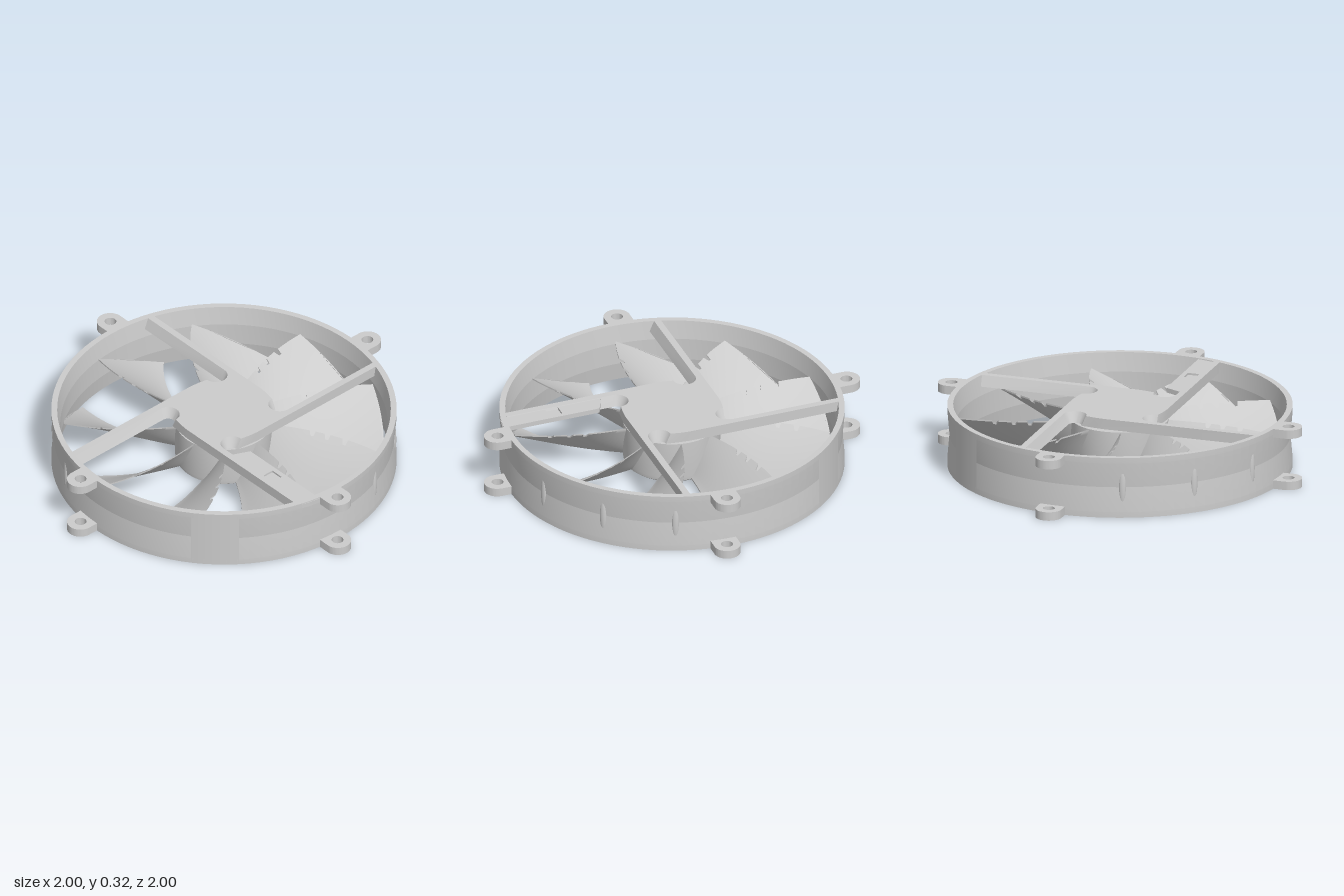
import * as THREE from 'three';
import { toCreasedNormals } from 'three/addons/utils/BufferGeometryUtils.js';

const material = new THREE.MeshStandardMaterial({ color: 0xcccccc, side: THREE.DoubleSide });

function add(parent, name, geometry, x = 0, y = 0, z = 0) {
  const mesh = new THREE.Mesh(geometry, material);
  mesh.name = name;
  mesh.position.set(x, y, z);
  parent.add(mesh);
  return mesh;
}

// Joins equal-length closed loops of points; a 2D contour gives the end caps.
function loft(loops, contour) {
  const n = loops[0].length;
  const index = [];
  for (let j = 0; j < loops.length - 1; j++) {
    for (let i = 0; i < n; i++) {
      const a = j * n + i, b = j * n + (i + 1) % n;
      index.push(a, b, b + n, a, b + n, a + n);
    }
  }
  const last = (loops.length - 1) * n;
  for (const [a, b, c] of THREE.ShapeUtils.triangulateShape(contour, [])) {
    index.push(a, c, b, last + a, last + b, last + c);
  }
  const geometry = new THREE.BufferGeometry().setFromPoints(loops.flat());
  geometry.setIndex(index);
  return toCreasedNormals(geometry, 0.5);
}

// Flat shape drawn in x/z, extruded upward.
function plate(shape, height) {
  const geometry = new THREE.ExtrudeGeometry(shape, { depth: height, bevelEnabled: false, curveSegments: 16 });
  geometry.rotateX(Math.PI / 2);
  geometry.translate(0, height, 0);
  return toCreasedNormals(geometry, 0.5);
}

// Outline of the motor plate with its four arms; inset widens arms and tightens notches.
function spiderOutline(inset) {
  const quarter = [[-0.82, -0.255], [-0.82, -0.22 + inset]];
  for (let i = 0; i <= 12; i++) {
    const a = -Math.PI / 2 + Math.PI * i / 12;
    const r = 0.06 - inset;
    quarter.push([-0.24 + r * Math.cos(a), -0.16 + r * Math.sin(a)]);
  }
  quarter.push([-0.25, -0.05], [-0.255, 0]);
  const points = [];
  for (let k = 0; k < 4; k++) {
    for (const [x, z] of quarter) {
      points.push([new THREE.Vector2(x, z), new THREE.Vector2(z, -x),
        new THREE.Vector2(-x, -z), new THREE.Vector2(-z, x)][k]);
    }
  }
  return points;
}

// Swept, twisted blade; notches trim only its upper edge.
function bladeGeometry() {
  const rows = 72, steps = 14;
  const notches = [0.46, 0.54, 0.64];
  const loops = [];
  const contour = [];
  for (let j = 0; j <= rows; j++) {
    const v = j / rows;
    const r = 0.235 + 0.58 * v;
    const low = THREE.MathUtils.degToRad(-2 + 4 * v + 8 * v * v);
    const high = THREE.MathUtils.degToRad(-30 + 7 * v + 3.5 * v * v);
    const trim = notches.some((c) => Math.abs(r - c) < 0.013) ? 0.92 : 1;
    const top = [], bottom = [];
    for (let i = 0; i <= steps; i++) {
      const u = Math.min(i / steps, trim);
      const a = low + (high - low) * u;
      const y = 0.035 + 0.21 * Math.pow(u, 1.2);
      const half = 0.003 + 0.006 * Math.sin(Math.PI * (u * 0.9 + 0.05));
      const x = r * Math.sin(a), z = -r * Math.cos(a);
      top.push(new THREE.Vector3(x, y + half, z));
      bottom.unshift(new THREE.Vector3(x, y - half, z));
      if (j === 0) contour.push(new THREE.Vector2(u, half));
    }
    loops.push([...top, ...bottom]);
  }
  contour.push(...contour.map((p) => new THREE.Vector2(p.x, -p.y)).reverse());
  return loft(loops, contour);
}

export function createModel() {
  const model = new THREE.Group();
  model.name = 'coolingFan';

  // Round frame with a narrow waist
  const profile = [[0.85, 0], [0.88, 0], [0.88, 0.03], [0.869, 0.16], [0.88, 0.29], [0.88, 0.32],
    [0.85, 0.32], [0.835, 0.22], [0.835, 0.1], [0.85, 0]];
  const ring = new THREE.LatheGeometry(profile.map(([x, y]) => new THREE.Vector2(x, y)), 96);
  add(model, 'frameRing', toCreasedNormals(ring, 0.09));

  // Straight wall panels and slim lens-shaped ribs across the waist
  const ribGeometry = new THREE.SphereGeometry(1, 24, 16);
  for (const side of [0, Math.PI]) {
    const panel = new THREE.CylinderGeometry(0.88, 0.88, 0.31, 8, 1, true, THREE.MathUtils.degToRad(37) + side, THREE.MathUtils.degToRad(16));
    add(model, 'wallPanel', panel, 0, 0.16, 0);
    for (const degrees of [-20, -45, -70]) {
      const a = THREE.MathUtils.degToRad(degrees) + side;
      const rib = add(model, 'wallRib', ribGeometry, 0.867 * Math.sin(a), 0.16, 0.867 * Math.cos(a));
      rib.rotation.y = a;
      rib.scale.set(0.018, 0.1, 0.012);
    }
  }

  // Mounting lugs, upper and lower on four sides
  const lug = new THREE.Shape();
  lug.moveTo(-0.127, 0.862);
  lug.lineTo(0.008, 0.862);
  lug.lineTo(0.008, 0.932);
  lug.absarc(-0.06, 0.932, 0.068, 0, Math.PI, false);
  lug.closePath();
  lug.holes.push(new THREE.Path().absarc(-0.06, 0.93, 0.03, 0, Math.PI * 2, true));
  const lugGeometry = plate(lug, 0.045);
  for (let k = 0; k < 4; k++) {
    for (const y of [0, 0.275]) {
      add(model, 'mountingLug', lugGeometry, 0, y, 0).rotation.y = k * Math.PI / 2;
    }
  }

  // Motor plate and four sloped arms
  const upper = spiderOutline(0), lower = spiderOutline(0.025);
  const lift = (points, y) => points.map((p) => new THREE.Vector3(p.x, y, p.y));
  add(model, 'motorPlateAndArms', loft([lift(lower, 0.265), lift(upper, 0.32)], upper));

  // Cable cover along the right arm, running out through the frame
  const cover = new THREE.Shape([[0.3, 0.23], [0.31, 0.205], [0.345, 0.13], [0.874, 0.13], [0.86, 0.2],
    [0.85, 0.23], [0.61, 0.23], [0.61, 0.155], [0.54, 0.155], [0.54, 0.23]].map(([x, z]) => new THREE.Vector2(x, z)));
  add(model, 'cableCover', plate(cover, 0.025), 0, 0.29, 0);
  add(model, 'cableClip', new THREE.BoxGeometry(0.07, 0.02, 0.075), 0.575, 0.295, 0.192);

  // Rotor: hub and nine blades
  const rotor = new THREE.Group();
  rotor.name = 'rotor';
  model.add(rotor);
  const hub = [[0, 0.02], [0.235, 0.02], [0.247, 0.03], [0.25, 0.05], [0.25, 0.25], [0, 0.25]];
  const hubGeometry = new THREE.LatheGeometry(hub.map(([x, y]) => new THREE.Vector2(x, y)), 64);
  add(rotor, 'hub', toCreasedNormals(hubGeometry, 0.7));
  const blade = bladeGeometry();
  for (let k = 0; k < 9; k++) {
    add(rotor, 'blade', blade).rotation.y = k * Math.PI * 2 / 9;
  }
  return model;
}
